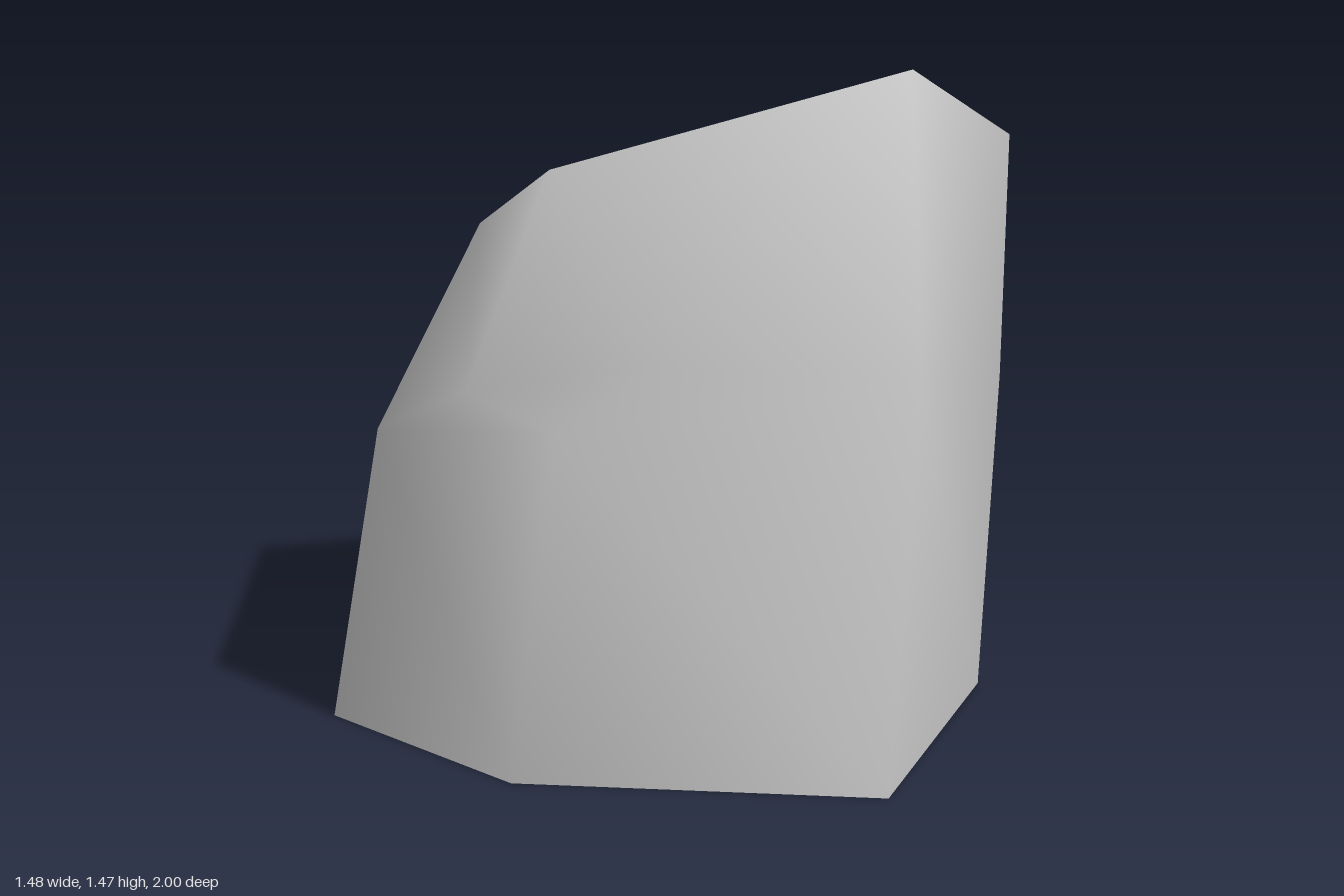
import * as THREE from 'three';

export function createModel() {
  const group = new THREE.Group();
  group.name = 'rock';
  const stone = new THREE.MeshStandardMaterial({ color: 0xc4c4c4, side: THREE.DoubleSide });
  stone.name = 'pale grey stone';

  // Three seven-sided rings, counter-clockwise seen from above, starting at the front corner
  const base = [[-0.3, 0, 1], [0.43, 0, 0.8], [0.735, 0, 0.15], [0.56, 0, -0.51], [0.17, 0, -1], [-0.71, 0, -0.23], [-0.74, 0, 0.35]];
  const waist = [[-0.13, 0.84, 0.95], [0.5, 0.75, 0.79], [0.73, 0.69, 0.22], [0.55, 0.65, -0.4], [0.15, 0.47, -0.86], [-0.62, 0.67, -0.16], [-0.58, 0.72, 0.33]];
  const crown = [[0.08, 1.47, 0.78], [0.54, 1.31, 0.77], [0.6, 1.28, 0.33], [0.53, 1.21, -0.22], [0.16, 1.04, -0.58], [-0.27, 1.24, 0.05], [-0.36, 0.84, 0.42]];
  const notch = [-0.48, 0.75, -0.02];
  const n = base.length;

  // Smooth shell, open underneath: lower wall and upper wall
  const index = [];
  const W = n, C = 2 * n, N = 3 * n;
  for (let i = 0; i < n; i++) {
    const j = (i + 1) % n;
    index.push(i, j, W + i, j, W + j, W + i);
    if (i < 4) index.push(W + i, W + j, C + i, W + j, C + j, C + i);
  }
  // Back left wall with the hollow above the side ledge
  index.push(W + 4, W + 5, C + 4, W + 5, N, C + 4, N, C + 5, C + 4);
  index.push(W + 5, W + 6, N, W + 6, C + 6, N, C + 6, C + 5, N);
  // Ledge and the face rising from it to the peak
  index.push(W + 6, W, C + 6, W, C, C + 6);
  // Sloping top
  for (const t of [[0, 1, 2], [0, 2, 5], [2, 3, 5], [3, 4, 5], [0, 5, 6]]) {
    index.push(...t.map((k) => C + k));
  }

  const geometry = new THREE.BufferGeometry();
  const points = [...base, ...waist, ...crown, notch].flat();
  geometry.setAttribute('position', new THREE.Float32BufferAttribute(points, 3));
  geometry.setIndex(index);
  geometry.computeVertexNormals();
  const body = new THREE.Mesh(geometry, stone);
  body.name = 'rockBody';
  group.add(body);
  return group;
}
